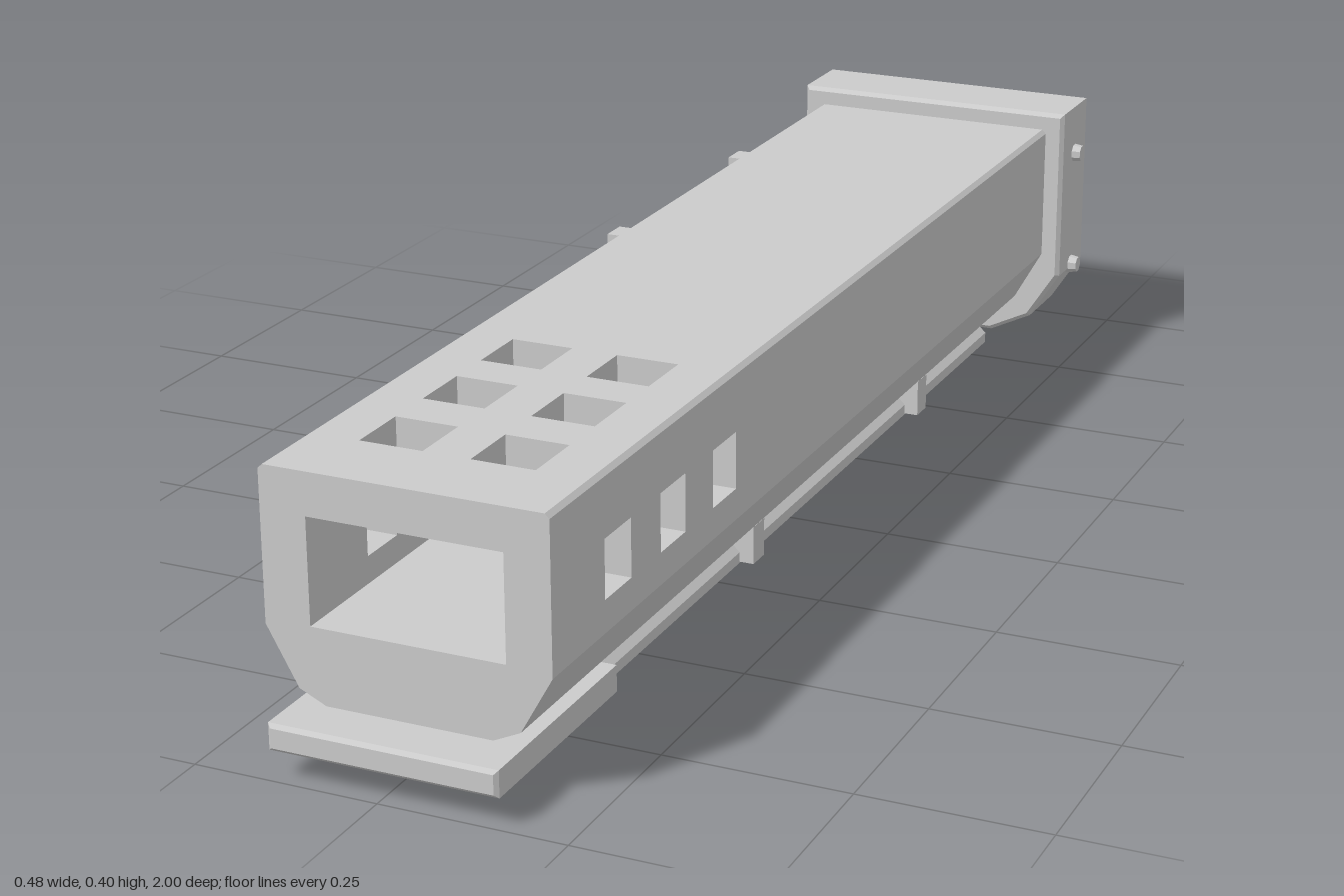
import * as THREE from 'three';

const grey = new THREE.MeshStandardMaterial({ color: 0xcccccc, flatShading: true });

export function createModel() {
  const model = new THREE.Group();

  const add = (name, geometry) => {
    const mesh = new THREE.Mesh(geometry, grey);
    mesh.name = name;
    model.add(mesh);
    return mesh;
  };
  const outline = (pts) => new THREE.Shape(pts.map(([x, y]) => new THREE.Vector2(x, y)));
  const rect = (x0, x1, y0, y1) => outline([[x0, y0], [x1, y0], [x1, y1], [x0, y1]]);

  // Extrudes a shape along z, with an optional bevel kept inside its outline
  const prism = (shape, z0, z1, b = 0) => new THREE.ExtrudeGeometry(shape, {
    depth: z1 - z0 - 2 * b, bevelEnabled: b > 0, bevelSize: b, bevelThickness: b,
    bevelOffset: -b, bevelSegments: 1,
  }).translate(0, 0, z0 + b);

  const box = (name, x0, x1, y0, y1, z0, z1) => add(name,
    new THREE.BoxGeometry(x1 - x0, y1 - y0, z1 - z0)
      .translate((x0 + x1) / 2, (y0 + y1) / 2, (z0 + z1) / 2));

  // Octagonal rod between two points
  const rod = (name, a, b, ra, rb = ra) => {
    const p = new THREE.Vector3(...a), q = new THREE.Vector3(...b);
    const g = new THREE.CylinderGeometry(rb, ra, p.distanceTo(q), 8);
    g.rotateY(Math.PI / 8);
    const mesh = add(name, g);
    mesh.position.copy(p).add(q).multiplyScalar(0.5);
    mesh.quaternion.setFromUnitVectors(new THREE.Vector3(0, 1, 0), q.sub(p).normalize());
  };

  // Body section: square top, chamfered bottom
  const L = -0.185, R = 0.198, TOP = 0.375, C = 0.006;
  const keel = [[L, 0.17], [-0.142, 0.093], [-0.078, 0.063], [0.091, 0.063], [0.155, 0.093], [R, 0.17]];
  const body = outline([...keel, [R, TOP - C], [R - C, TOP], [L + C, TOP], [L, TOP - C]]);
  add('body', prism(body, -0.85, 0.3));
  add('rearCap', prism(body, -1, -0.84, 0.007));

  // Hollow front end around a rectangular opening
  const cl = -0.123, cr = 0.138, floor = 0.177, ceiling = 0.318, back = 0.3, front = 0.93;
  add('frontTrough', prism(outline([...keel, [R, floor], [L, floor]]), back, front));
  add('rightTopRail', prism(outline([[L, ceiling], [cl, ceiling], [cl, TOP], [L + C, TOP], [L, TOP - C]]), back, front));
  add('leftTopRail', prism(outline([[cr, ceiling], [R, ceiling], [R, TOP - C], [R - C, TOP], [cr, TOP]]), back, front));

  // Side walls, each with three square vents
  for (const [name, x0, x1] of [['rightVentWall', L, cl], ['leftVentWall', cr, R]]) {
    const wall = rect(back, front, floor, ceiling);
    for (const z of [0.445, 0.6, 0.755]) wall.holes.push(rect(z - 0.036, z + 0.036, 0.213, 0.291));
    add(name, prism(wall, 0, x1 - x0).rotateY(-Math.PI / 2).translate(x1, 0, 0));
  }

  // Roof with two rows of three vents
  const roof = rect(cl, cr, back, front);
  for (const x of [-0.07, 0.08])
    for (const z of [0.465, 0.617, 0.773])
      roof.holes.push(rect(x - 0.043, x + 0.043, z - 0.044, z + 0.044));
  add('ventRoof', prism(roof, 0, TOP - ceiling).rotateX(Math.PI / 2).translate(0, TOP, 0));

  // Rear collar with bolts on both sides
  add('collar', prism(outline([
    [-0.212, 0.402], [-0.212, 0.135], [-0.165, 0.062], [-0.1, 0.03],
    [0.115, 0.03], [0.18, 0.062], [0.227, 0.135], [0.227, 0.402],
  ]), -0.92, -0.8, 0.006));
  for (const y of [0.14, 0.326]) {
    rod('leftBolt', [0.215, y, -0.86], [0.24, y, -0.86], 0.016, 0.012);
    rod('rightBolt', [-0.2, y, -0.86], [-0.225, y, -0.86], 0.016, 0.012);
  }

  // Plate under the front end
  add('frontPlate', prism(rect(-0.147, 0.16, 0.04, 0.076), 0.68, 1, 0.005));

  // Lower pipe with tapered tip and two brackets
  rod('lowerPipe', [0.106, 0.034, -0.75], [0.106, 0.034, 0.7], 0.02);
  rod('lowerPipeTip', [0.106, 0.034, 0.675], [0.106, 0.034, 0.75], 0.035, 0.026);
  for (const z of [0.212, -0.408]) box('lowerBracket', 0.067, 0.145, 0.028, 0.082, z - 0.018, z + 0.018);

  // Side pipe, bent in towards the body at both ends, with two brackets
  const a = [-0.213, 0.295, -0.69], b = [-0.213, 0.295, 0.23];
  rod('sidePipe', a, b, 0.023);
  rod('sidePipeRearBend', a, [-0.192, 0.266, -0.79], 0.023);
  rod('sidePipeFrontBend', b, [-0.192, 0.266, 0.33], 0.023);
  for (const z of [-0.574, -0.14]) box('sideBracket', -0.24, -0.18, 0.245, 0.344, z - 0.02, z + 0.02);

  return model;
}
